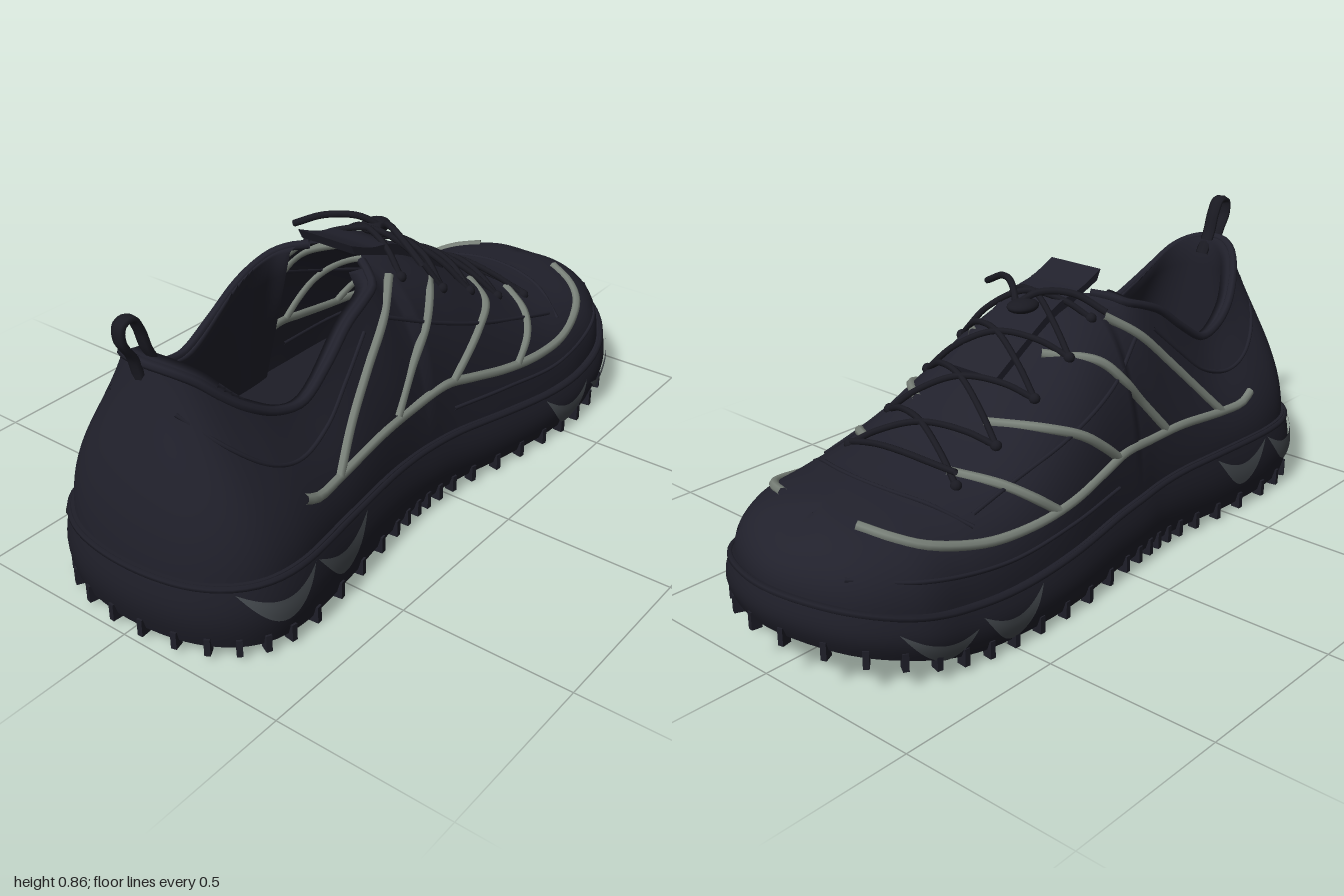
import * as THREE from 'three';
import { mergeVertices } from 'three/addons/utils/BufferGeometryUtils.js';

const V = (x, y, z) => new THREE.Vector3(x, y, z);

// Stations from heel to toe: outline x, left z, right z, sole bottom, sole top
const base = [
  [-0.98, 0, 0, 0.035, 0.22], [-0.95, 0.19, 0.19, 0.035, 0.22], [-0.86, 0.31, 0.31, 0.03, 0.22],
  [-0.72, 0.35, 0.35, 0.025, 0.22], [-0.5, 0.325, 0.345, 0.02, 0.22], [-0.3, 0.3, 0.335, 0.03, 0.22],
  [-0.18, 0.29, 0.335, 0.035, 0.215], [-0.08, 0.29, 0.345, 0.035, 0.21], [0.05, 0.3, 0.355, 0.03, 0.2],
  [0.25, 0.335, 0.375, 0.02, 0.18], [0.45, 0.365, 0.375, 0.02, 0.165], [0.62, 0.37, 0.36, 0.03, 0.17],
  [0.78, 0.335, 0.33, 0.07, 0.195], [0.92, 0.215, 0.215, 0.105, 0.23], [0.985, 0, 0, 0.125, 0.245],
];
// Same stations: collar or ridge x, y, z, then side fullness and shoulder drop
const top = [
  [-0.875, 0.73, 0, 0.35, 0.35], [-0.86, 0.722, 0.06, 0.35, 0.35], [-0.81, 0.685, 0.12, 0.35, 0.35],
  [-0.7, 0.585, 0.18, 0.35, 0.35], [-0.53, 0.53, 0.205, 0.35, 0.35], [-0.33, 0.66, 0.19, 0.35, 0.3],
  [-0.2, 0.71, 0.17, 0.45, 0.2], [-0.14, 0.735, 0.09, 0.6, 0.08], [0, 0.715, 0, 0.75, 0.03],
  [0.22, 0.59, 0, 0.75, 0.03], [0.43, 0.465, 0, 0.75, 0.03], [0.6, 0.42, 0, 0.75, 0.03],
  [0.72, 0.405, 0, 0.72, 0.03], [0.79, 0.395, 0, 0.6, 0.05], [0.82, 0.38, 0, 0.45, 0.12],
];
const N = 14;

// Smooth interpolation of a table column; odd columns mirror with a sign change
function val(table, c, s, odd = false) {
  const p = (j) => {
    const k = j < 0 ? -j : j > N ? 2 * N - j : j;
    return table[k][c] * (odd && k !== j ? -1 : 1);
  };
  const i = Math.min(N - 1, Math.max(0, Math.floor(s))), t = s - i;
  const a = p(i - 1), b = p(i), d = p(i + 1), e = p(i + 2);
  return b + 0.5 * t * (d - a + t * (2 * a - 5 * b + 4 * d - e + t * (3 * (b - d) + e - a)));
}

const outline = (s, side) => V(val(base, 0, s), 0, side * val(base, side > 0 ? 1 : 2, s, true));

function outward(s, side) {
  const a = outline(Math.max(0, s - 0.02), side), b = outline(Math.min(N, s + 0.02), side);
  if (s < 0.01) return V(-1, 0, 0);
  if (s > N - 0.01) return V(1, 0, 0);
  return V(-(b.z - a.z) * side, 0, (b.x - a.x) * side).normalize();
}

// Point on the sole wall, v from bottom to top
function soleWall(s, side, v, off = 0) {
  const p = outline(s, side).addScaledVector(outward(s, side), 0.018 * Math.sin(Math.PI * v) + off);
  p.y = THREE.MathUtils.lerp(val(base, 3, s), val(base, 4, s), v);
  return p;
}

const collar = (s, side) => V(val(top, 0, s), val(top, 1, s),
  side * (s >= 8 ? 0 : Math.max(0, val(top, 2, s, true))));

// Point on the upper, v from sole to collar or ridge
function upper(s, side, v) {
  const b = soleWall(s, side, 0.95, -0.012), t = collar(s, side), h = t.y - b.y;
  const k = val(top, 3, s), d = val(top, 4, s);
  const p1 = V(b.x, b.y + h * (s > 7 ? 0.62 : 0.4), b.z);
  const p2 = t.clone().lerp(b, k);
  p2.y = t.y - d * h;
  const w = 1 - v;
  return b.multiplyScalar(w * w * w).addScaledVector(p1, 3 * w * w * v)
    .addScaledVector(p2, 3 * w * v * v).addScaledVector(t, v * v * v);
}

// Surface from a rule over u and v in 0..1
function grid(nu, nv, fn) {
  const pos = [], index = [];
  for (let i = 0; i <= nu; i++) for (let j = 0; j <= nv; j++) pos.push(...fn(i / nu, j / nv).toArray());
  for (let i = 0; i < nu; i++) for (let j = 0; j < nv; j++) {
    const a = i * (nv + 1) + j, b = a + nv + 1;
    index.push(a, b, a + 1, b, b + 1, a + 1);
  }
  let g = new THREE.BufferGeometry();
  g.setAttribute('position', new THREE.Float32BufferAttribute(pos, 3));
  g.setIndex(index);
  g = mergeVertices(g, 1e-5);
  g.computeVertexNormals();
  return g;
}
// Walk right round the shoe: heel, left side, toe, right side
const around = (u) => (u <= 0.5 ? [u * 2 * N, 1] : [(1 - u) * 2 * N, -1]);

// Find the upper's point at x and a given height or z
function onUpper(x, q, side, axis = 'y') {
  const err = (s, v) => { const p = upper(s, side, v); return Math.hypot(p.x - x, p[axis] - q); };
  let best = [7, 0.5, 9];
  for (let i = 0; i <= 56; i++) for (let j = 0; j <= 24; j++) {
    const e = err(i / 4, j / 24);
    if (e < best[2]) best = [i / 4, j / 24, e];
  }
  for (let ds = 0.12, dv = 0.02; ds > 0.002; ds *= 0.7, dv *= 0.7)
    for (const [a, b] of [[1, 0], [-1, 0], [0, 1], [0, -1], [1, 1], [-1, -1], [1, -1], [-1, 1]]) {
      const s = THREE.MathUtils.clamp(best[0] + a * ds, 0, N), v = THREE.MathUtils.clamp(best[1] + b * dv, 0, 1);
      const e = err(s, v);
      if (e < best[2]) best = [s, v, e];
    }
  return upper(best[0], side, best[1]);
}

const tube = (pts, r, n = 40) => new THREE.TubeGeometry(new THREE.CatmullRomCurve3(pts), n, r, 7);

export function createModel() {
  const shoe = new THREE.Group();
  shoe.name = 'shoe';
  const mat = (name, color) => {
    const m = new THREE.MeshStandardMaterial({ color, side: THREE.DoubleSide });
    m.name = name;
    return m;
  };
  const fabric = mat('dark navy fabric', 0x21212c), rubber = mat('dark rubber', 0x1e1e28);
  const lace = mat('lace black', 0x1a1a22), cordGrey = mat('cord grey', 0x798179), panelGrey = mat('panel grey', 0x454a4f);
  const add = (name, geo, m) => {
    const mesh = new THREE.Mesh(geo, m);
    mesh.name = name;
    shoe.add(mesh);
    return mesh;
  };

  // Sole wall, underside and insole
  add('soleWall', grid(160, 8, (u, v) => soleWall(...around(u), v)), rubber);
  for (const [name, v] of [['outsole', 0], ['insole', 1]])
    add(name, grid(80, 8, (u, w) => {
      const p = soleWall(u * N, -1, v).lerp(soleWall(u * N, 1, v), w);
      p.y += v ? 0 : 0.012 * Math.sin(Math.PI * w);
      return p;
    }), rubber);
  add('soleRim', new THREE.TubeGeometry(new THREE.CatmullRomCurve3(
    Array.from({ length: 56 }, (_, i) => soleWall(...around(i / 56), 0.95)), true), 160, 0.009, 6, true), rubber);

  // Lugs round the edge of the outsole
  for (const side of [1, -1]) for (let s = 0.25; s < N; s += 0.5) {
    const n = outward(s, side), p = soleWall(s, side, 0.06, -0.004);
    const lug = add('lug', new THREE.BoxGeometry(0.016, 0.05, 0.03), rubber);
    lug.position.copy(p);
    lug.position.y = Math.max(0.025, p.y - 0.006);
    lug.rotation.y = Math.atan2(n.x, n.z);
  }

  // Crescent panels on the sole wall: left end, right end, sag point
  const crescents = [[-0.89, 0.2, -0.68, 0.2, 0.095], [-0.67, 0.2, -0.43, 0.2, 0.09],
    [0.4, 0.15, 0.61, 0.135, 0.035], [0.63, 0.115, 0.83, 0.165, 0.058]];
  for (const side of [1, -1]) for (const [x0, y0, x1, y1, low] of crescents)
    add('crescentPanel', grid(24, 4, (u, v) => {
      const x = x0 + (x1 - x0) * u, line = y0 + (y1 - y0) * u;
      const sag = ((y0 + y1) / 2 - low) * Math.sin(Math.PI * u) * (1 - 0.6 * v);
      let a = 0, b = N;
      for (let i = 0; i < 30; i++) { const m = (a + b) / 2; if (val(base, 0, m) < x) a = m; else b = m; }
      const yb = val(base, 3, a), yt = val(base, 4, a);
      return soleWall(a, side, THREE.MathUtils.clamp((line - sag - yb) / (yt - yb), 0, 1), 0.008);
    }), panelGrey);

  // Upper, padded lining and collar rim
  add('upper', grid(192, 24, (u, v) => upper(...around(u), v)), fabric);
  add('lining', grid(96, 8, (u, v) => {
    const s = Math.abs(u * 2 - 1) * 6.7, side = u < 0.5 ? 1 : -1;
    const t = collar(s, side), b = outline(s, side).multiplyScalar(0.88);
    const p = t.lerp(V(-0.5, t.y, 0), 0.14 * Math.min(1, v * 4));
    if (v > 0.25) p.lerp(V(b.x, 0.225, b.z), (v - 0.25) / 0.75);
    return p;
  }), fabric);
  const rim = [];
  for (let s = -7; s <= 7; s += 0.5) rim.push(collar(Math.abs(s), s < 0 ? -1 : 1));
  add('collarRim', tube(rim, 0.013, 90), fabric);

  // Tongue
  const profile = new THREE.Shape();
  profile.moveTo(-0.185, 0.795);
  profile.splineThru([[-0.1, 0.76], [0, 0.735], [0.12, 0.67], [0.25, 0.59]].map((p) => new THREE.Vector2(...p)));
  profile.lineTo(0.24, 0.56);
  profile.lineTo(0, 0.7);
  profile.lineTo(-0.17, 0.765);
  const tongue = new THREE.ExtrudeGeometry(profile, { depth: 0.18, bevelEnabled: false, curveSegments: 8 });
  add('tongue', tongue.translate(0, 0, -0.09), fabric);

  // Cords and seams drawn as side-view paths on both sides
  const cords = [
    [[-0.65, 0.345], [-0.6, 0.325], [-0.5, 0.325], [-0.3, 0.345], [-0.15, 0.35], [0, 0.36], [0.1, 0.34],
      [0.25, 0.31], [0.4, 0.295], [0.55, 0.3], [0.7, 0.335], [0.76, 0.36], [0.8, 0.38]],
    [[-0.5, 0.325], [-0.4, 0.43], [-0.3, 0.53], [-0.2, 0.625], [-0.1, 0.695]],
    [[-0.22, 0.36], [-0.13, 0.46], [-0.05, 0.55], [0.01, 0.61], [0.12, 0.635]],
    [[0.03, 0.36], [0.09, 0.41], [0.16, 0.46], [0.25, 0.495], [0.34, 0.505]],
    [[0.3, 0.305], [0.37, 0.36], [0.43, 0.4], [0.5, 0.425]],
  ];
  const seams = [
    [[-0.87, 0.62], [-0.8, 0.53], [-0.7, 0.45], [-0.6, 0.42], [-0.48, 0.45], [-0.38, 0.53], [-0.28, 0.62]],
    [[-0.18, 0.62], [0, 0.54], [0.2, 0.465], [0.4, 0.4], [0.54, 0.36]],
    [[0.03, 0.27], [0.25, 0.25], [0.5, 0.235], [0.75, 0.27], [0.9, 0.295]],
  ];
  for (const side of [1, -1]) {
    for (const c of cords) add('cord', tube(c.map(([x, y]) => onUpper(x, y, side)), 0.014, 60), cordGrey);
    for (const c of seams) add('seam', tube(c.map(([x, y]) => onUpper(x, y, side)), 0.006, 60), fabric);
  }
  // Toe cap seam
  add('toeCapSeam', tube([-0.3, -0.2, -0.1, -0.02, 0.02, 0.1, 0.2, 0.3].map((z) =>
    onUpper(0.66 - 1.1 * z * z, Math.abs(z), 1, 'z').multiply(V(1, 1, Math.sign(z)))), 0.006), fabric);

  // Crossed laces with eyelets
  const rows = [-0.06, 0.08, 0.22, 0.37, 0.52];
  const eyelet = (i, side) => onUpper(rows[i], side * (i ? 0.2 : 0.16), side, 'z');
  for (const side of [1, -1]) for (let i = 0; i < rows.length; i++) {
    const a = eyelet(i, side);
    add('eyelet', new THREE.SphereGeometry(0.016, 10, 8), lace).position.copy(a);
    if (i === rows.length - 1) continue;
    const b = eyelet(i + 1, -side), pts = [a];
    for (const t of [0.2, 0.5, 0.8]) {
      const p = a.clone().lerp(b, t);
      const ridge = onUpper(p.x, Math.abs(p.z), 1, 'z').y;
      p.y = Math.max(p.y, ridge) + (t === 0.5 ? 0.045 : 0.025);
      pts.push(p);
    }
    add('lace', tube([...pts, b], 0.009), lace);
  }
  add('laceBar', tube([-0.2, -0.1, 0, 0.1, 0.2].map((z) =>
    V(0.52, onUpper(0.52, Math.abs(z), z < 0 ? -1 : 1, 'z').y + 0.008, z)), 0.009), lace);

  // Loose lace ends and toggle
  for (const side of [1, -1])
    add('laceEnd', tube([V(0.07, 0.735, 0), V(0.03, 0.77, side * 0.05), V(-0.02, 0.77, side * 0.13),
      V(-0.05, 0.73, side * 0.22)], 0.01), lace);
  const toggle = add('toggle', new THREE.SphereGeometry(1, 20, 14), lace);
  toggle.scale.set(0.05, 0.019, 0.04);
  toggle.position.set(0.07, 0.735, -0.025);

  // Heel pull loop, a flattened ribbon
  const loop = add('pullLoop', tube([V(-0.87, 0.66, 0), V(-0.89, 0.74, 0), V(-0.925, 0.8, 0), V(-0.922, 0.842, 0),
    V(-0.89, 0.848, 0), V(-0.865, 0.81, 0), V(-0.845, 0.75, 0), V(-0.81, 0.69, 0)], 0.01, 48), lace);
  loop.scale.z = 2.2;
  return shoe;
}
